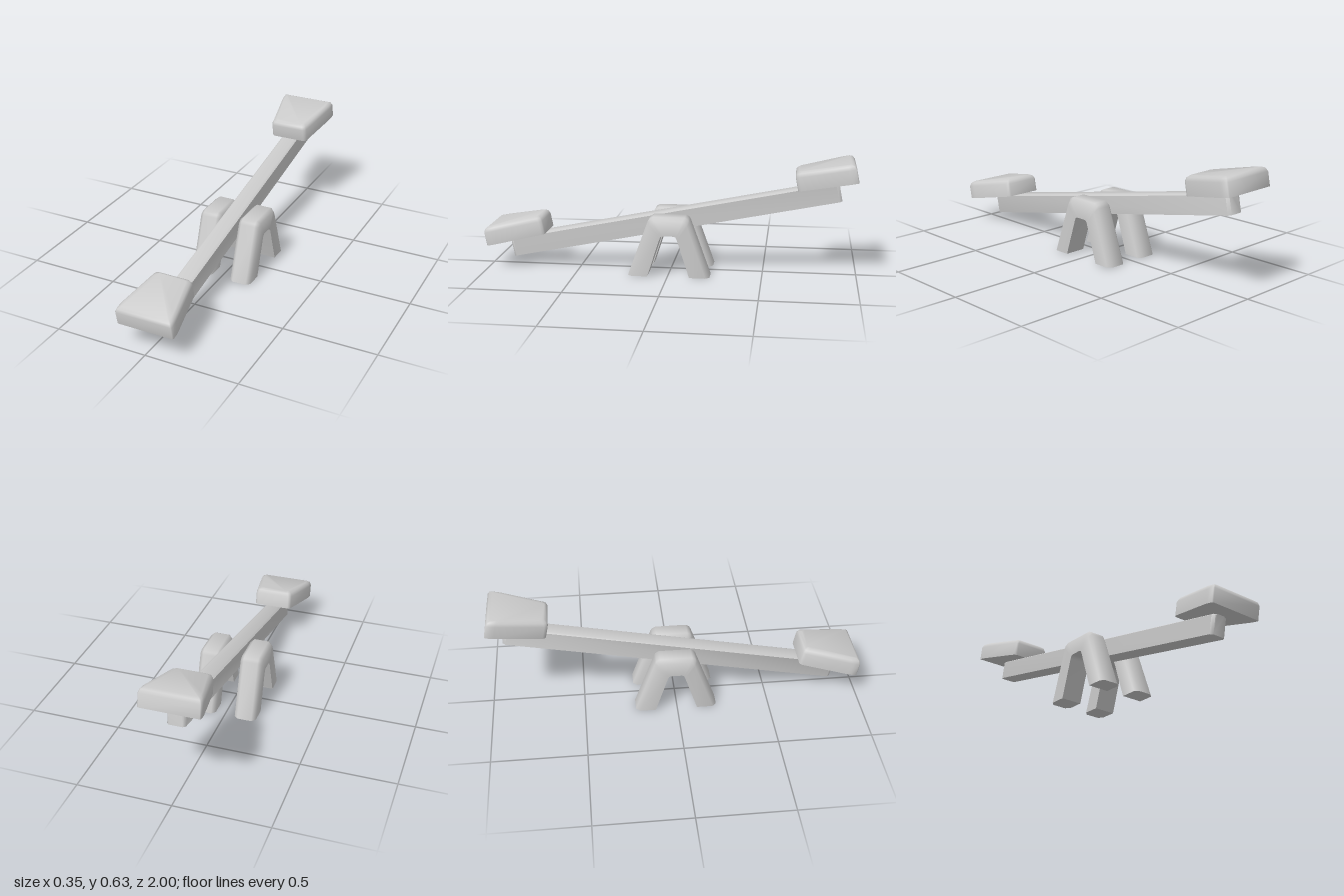
import * as THREE from 'three';
import { toCreasedNormals } from 'three/addons/utils/BufferGeometryUtils.js';

const material = new THREE.MeshStandardMaterial({ color: 0xcccccc });

// Skins a row of convex rings (counter-clockwise about the direction of travel) and caps both ends
function loft(name, rings) {
  const pos = [];
  const tri = (a, b, c) => pos.push(...a, ...b, ...c);
  const n = rings[0].length;
  for (let i = 0; i < rings.length - 1; i++) {
    const r = rings[i], s = rings[i + 1];
    for (let j = 0; j < n; j++) {
      const k = (j + 1) % n;
      tri(r[j], r[k], s[k]);
      tri(r[j], s[k], s[j]);
    }
  }
  const first = rings[0], last = rings[rings.length - 1];
  for (let j = 1; j < n - 1; j++) {
    tri(first[0], first[j + 1], first[j]);
    tri(last[0], last[j], last[j + 1]);
  }
  const geometry = new THREE.BufferGeometry();
  geometry.setAttribute('position', new THREE.Float32BufferAttribute(pos, 3));
  const mesh = new THREE.Mesh(toCreasedNormals(geometry, 1.0), material);
  mesh.name = name;
  return mesh;
}

// Plank with softened top edges and end corners; its top lies on y = 0
function beam() {
  const stations = [[-0.91, 0.035], [-0.895, 0.047], [0.895, 0.047], [0.91, 0.035]];
  return loft('beam', stations.map(([z, w]) => [
    [-w, -0.106, z], [w, -0.106, z], [w, -0.008, z],
    [w - 0.013, 0, z], [-w + 0.013, 0, z], [-w, -0.008, z],
  ]));
}

// Tapered seat block, wider at the outer end, with a rounded top rim
function seat(name) {
  const half = [[0.694, 0.092], [0.699, 0.102], [0.712, 0.109], [0.962, 0.154], [0.975, 0.155], [1.006, 0.155], [1.011, 0.15]];
  const outline = [...half.map(([z, x]) => [z, -x]), ...half.slice().reverse()];
  const levels = [[0, 0], [0.073, 0], [0.091, 0.007], [0.1, 0.022]];
  return loft(name, levels.map(([y, inset]) => outline.map(([z, x]) => [
    x - Math.sign(x) * inset, y, z + (z < 0.85 ? inset : -inset),
  ])));
}

// Arched support: the section is swept up one leg, over the top and down the other
function support(name) {
  const w = 0.06, bevel = 0.021;
  // inner z, inner y, outer z, outer y
  const half = [[0.113, 0, 0.22, 0], [0.047, 0.205, 0.112, 0.298], [0.04, 0.22, 0.104, 0.313], [0.03, 0.225, 0.085, 0.324]];
  const path = [...half, ...half.slice().reverse().map(([a, b, c, d]) => [-a, b, -c, d])];
  return loft(name, path.map(([iz, iy, oz, oy]) => {
    const t = 1 - bevel / Math.hypot(oz - iz, oy - iy);
    const sy = iy + (oy - iy) * t, sz = iz + (oz - iz) * t;
    return [
      [-w, iy, iz], [-w, sy, sz], [-w + bevel, oy, oz],
      [w - bevel, oy, oz], [w, sy, sz], [w, iy, iz],
    ];
  }));
}

export function createModel() {
  const model = new THREE.Group();
  model.name = 'seesaw';

  // Tilted rocking part
  const rocker = new THREE.Group();
  rocker.name = 'rocker';
  const rearSeat = seat('rearSeat');
  rearSeat.rotation.y = Math.PI;
  rocker.add(beam(), seat('frontSeat'), rearSeat);
  rocker.position.y = 0.334;
  rocker.rotation.x = 0.2;
  model.add(rocker);

  // Supports on both sides of the beam
  for (const [name, side] of [['leftSupport', 1], ['rightSupport', -1]]) {
    const arch = support(name);
    arch.position.set(side * 0.114, 0, -0.005);
    model.add(arch);
  }
  return model;
}
